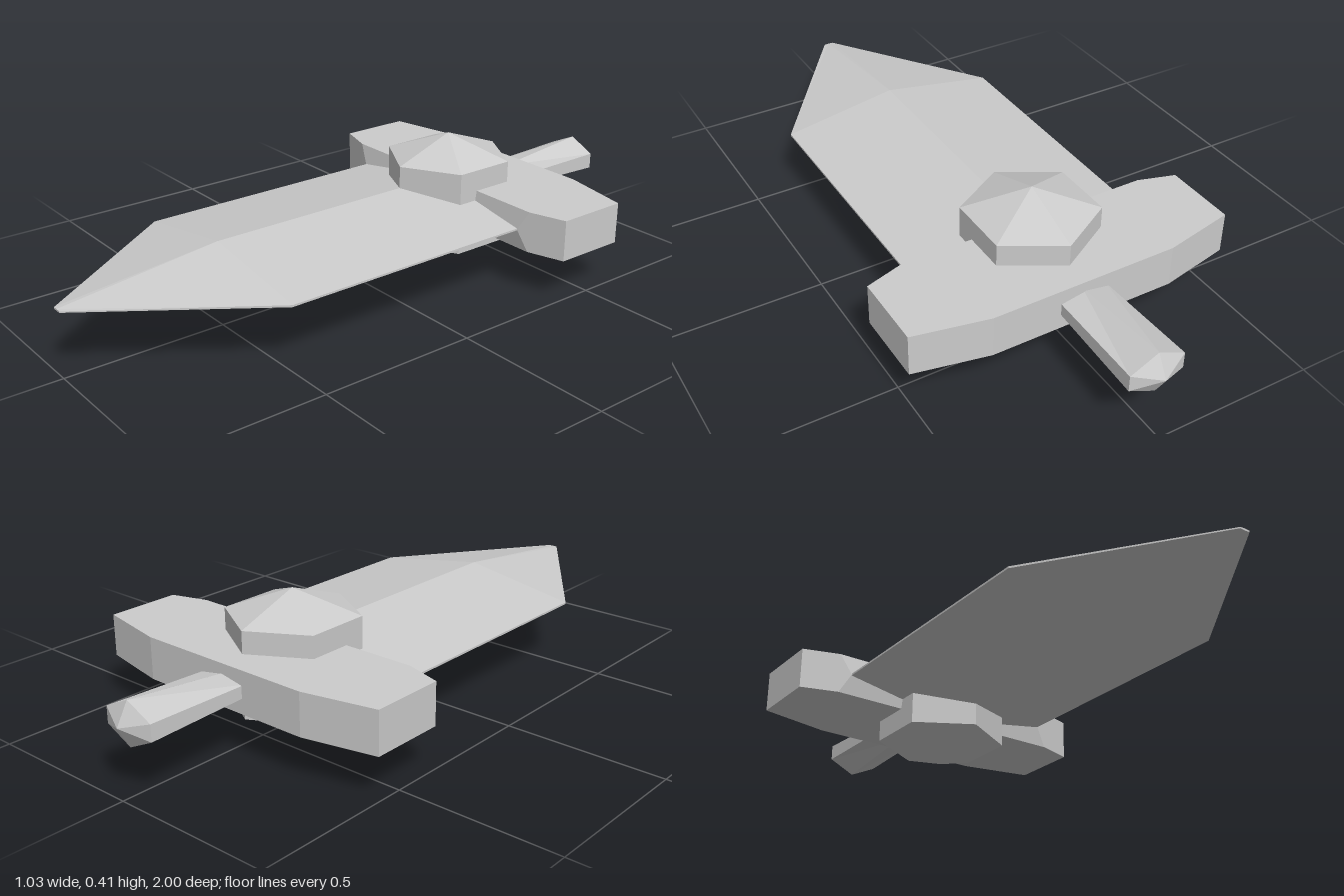
import * as THREE from 'three';
import { ConvexGeometry } from 'three/addons/geometries/ConvexGeometry.js';

const MID = 0.2075; // height of the sword's centre plane
const material = new THREE.MeshStandardMaterial({ color: 0xcccccc, flatShading: true });

function addPart(group, name, geometry, y = MID, z = 0) {
  const mesh = new THREE.Mesh(geometry, material);
  mesh.name = name;
  mesh.position.set(0, y, z);
  group.add(mesh);
}

// Joins flattened hexagonal sections [z, half width, ridge half height, edge half height], z rising
function hexLoft(sections) {
  const rings = sections.map(([z, w, h, e]) =>
    [[w, -e], [w, e], [0, h], [-w, e], [-w, -e], [0, -h]].map(([x, y]) => [x, y, z]));
  const positions = [];
  const tri = (a, b, c) => positions.push(...a, ...b, ...c);
  for (let r = 0; r < rings.length - 1; r++) {
    const a = rings[r], b = rings[r + 1];
    for (let i = 0; i < 6; i++) {
      const j = (i + 1) % 6;
      tri(a[i], a[j], b[j]);
      tri(a[i], b[j], b[i]);
    }
  }
  const first = rings[0], last = rings[rings.length - 1];
  for (let i = 1; i < 5; i++) {
    tri(first[0], first[i + 1], first[i]);
    tri(last[0], last[i], last[i + 1]);
  }
  const geometry = new THREE.BufferGeometry();
  geometry.setAttribute('position', new THREE.Float32BufferAttribute(positions, 3));
  geometry.computeVertexNormals();
  return geometry;
}

// Bevelled crossguard with a shallow ridge along its front
function guardGeometry() {
  const points = [];
  for (const side of [-1, 1]) {
    for (const y of [-0.0645, 0.0645]) {
      for (const [x, z] of [[0.4, -0.335], [0.515, -0.37], [0.515, -0.6], [0.29, -0.647]]) {
        points.push(new THREE.Vector3(side * x, y, z));
      }
    }
    points.push(new THREE.Vector3(side * 0.363, 0, -0.324));
  }
  return new ConvexGeometry(points);
}

export function createModel() {
  const group = new THREE.Group();
  group.name = 'sword';

  // Broad diamond-section blade, narrowing to a tip
  addPart(group, 'blade', hexLoft([
    [-0.34, 0.363, 0.0615, 0.003],
    [0.505, 0.363, 0.0615, 0.003],
    [1, 0.016, 0.003, 0.002],
  ]));

  addPart(group, 'guard', guardGeometry());

  // Six-sided gem, pointed above and below
  const profile = [[0, -0.2045], [0.2, -0.132], [0.2, 0.132], [0, 0.2045]]
    .map(([r, y]) => new THREE.Vector2(r, y));
  addPart(group, 'gem', new THREE.LatheGeometry(profile, 6), MID, -0.367);

  // Flaring grip ending in a blunt point
  addPart(group, 'handle', hexLoft([
    [-1, 0.001, 0.001, 0.0005],
    [-0.963, 0.086, 0.066, 0.025],
    [-0.63, 0.077, 0.032, 0.018],
  ]));

  return group;
}
